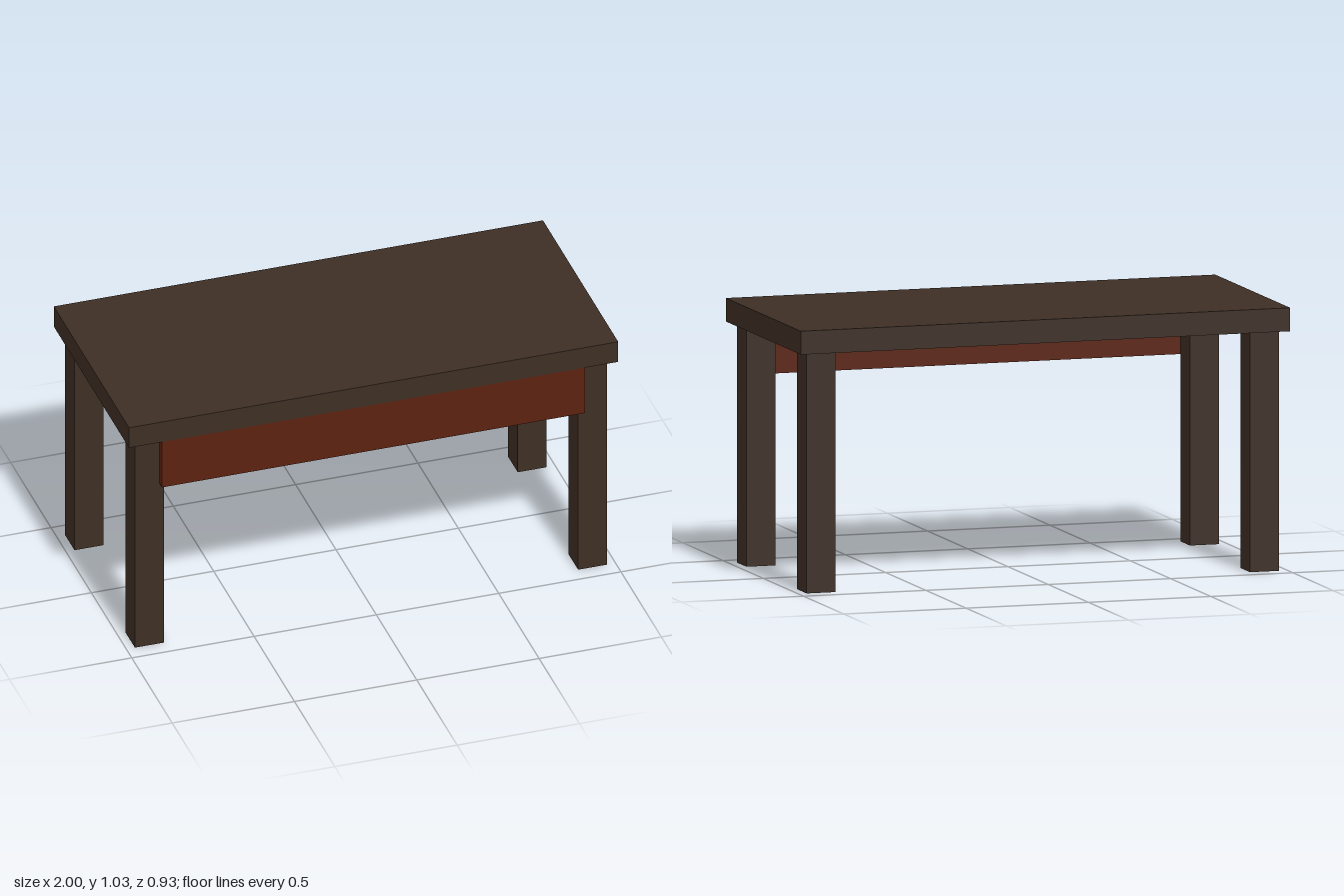
import * as THREE from 'three';

export function createModel() {
  const model = new THREE.Group();
  model.name = 'table';

  const darkWood = new THREE.MeshStandardMaterial({ color: 0x3d2e24 });
  darkWood.name = 'darkWood';
  const redWood = new THREE.MeshStandardMaterial({ color: 0x5c2210 });
  redWood.name = 'redWood';

  const height = 1.035, topThickness = 0.092, legWidth = 0.118;
  const underside = height - topThickness;

  // Box placed by its centre in x and z and by its bottom in y
  function addBox(name, material, [w, h, d], [x, bottom, z]) {
    const mesh = new THREE.Mesh(new THREE.BoxGeometry(w, h, d), material);
    mesh.name = name;
    mesh.position.set(x, bottom + h / 2, z);
    model.add(mesh);
  }

  // Table top
  addBox('tableTop', darkWood, [2, topThickness, 0.932], [0, underside, 0]);

  // Four square legs
  for (const [side, sx] of [['Left', 1], ['Right', -1]]) {
    for (const [end, sz] of [['front', 1], ['back', -1]]) {
      addBox(`${end}${side}Leg`, darkWood, [legWidth, underside, legWidth], [sx * 0.906, 0, sz * 0.374]);
    }
  }

  // Front apron board, fixed to the faces of the front legs
  addBox('frontApron', redWood, [1.73, 0.208, 0.033], [0, underside - 0.208, 0.4495]);

  return model;
}
